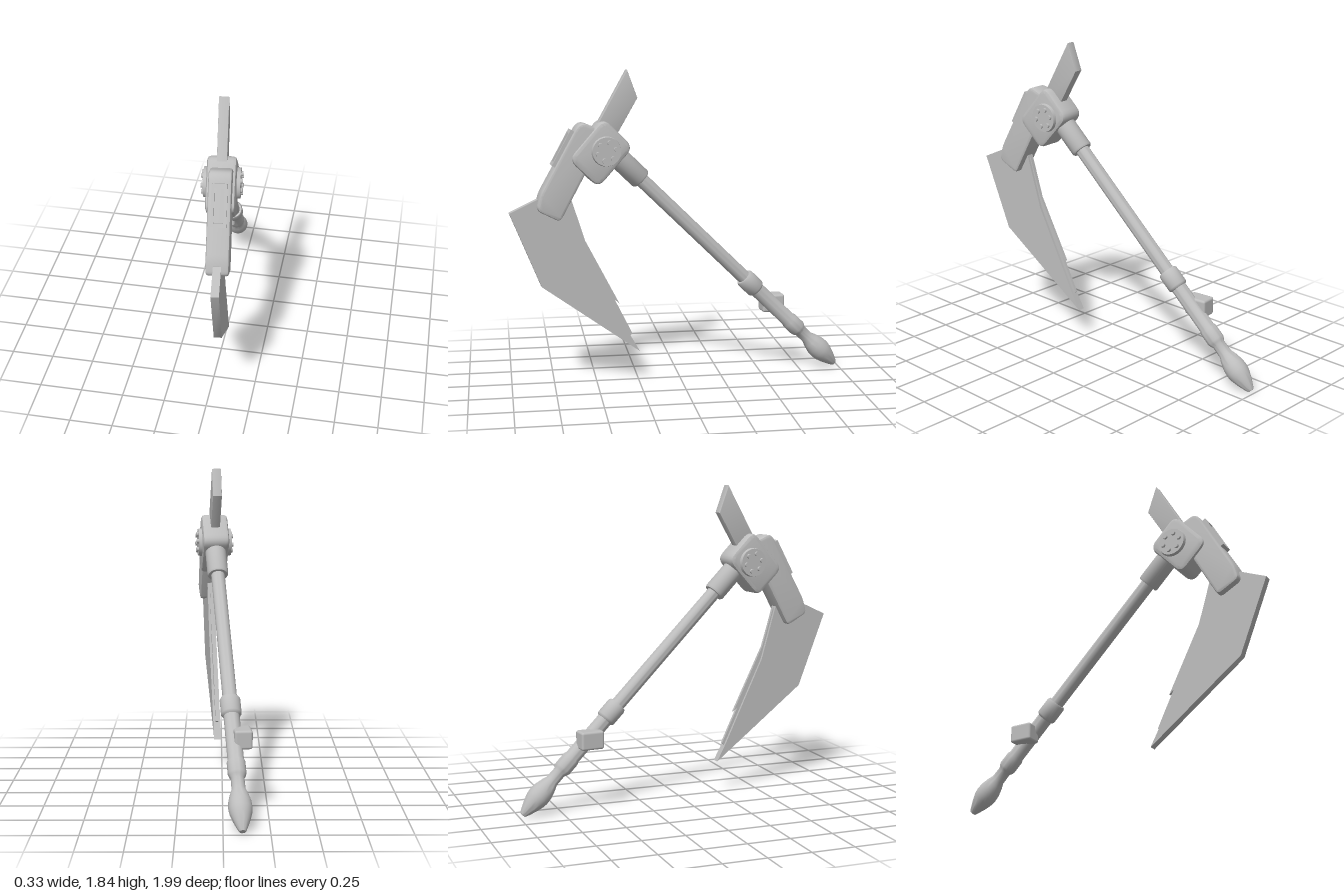
import * as THREE from 'three';
import { toCreasedNormals } from 'three/addons/utils/BufferGeometryUtils.js';
import { RoundedBoxGeometry } from 'three/addons/geometries/RoundedBoxGeometry.js';

const steel = new THREE.MeshStandardMaterial({ color: 0xbdbdbd });
steel.name = 'steel grey';

function add(parent, name, geometry, x = 0, y = 0, z = 0) {
  const mesh = new THREE.Mesh(geometry, steel);
  mesh.name = name;
  mesh.position.set(x, y, z);
  parent.add(mesh);
  return mesh;
}

// Outline of [z, y] points with corners rounded by radius r
function outline(points, r = 0) {
  const pts = points.map(([a, b]) => new THREE.Vector2(a, b));
  if (!r) return new THREE.Shape(pts);
  const shape = new THREE.Shape();
  const toward = (p, q) => p.clone().add(q.clone().sub(p).setLength(Math.min(r, p.distanceTo(q) * 0.45)));
  pts.forEach((p, i) => {
    const a = toward(p, pts.at(i - 1));
    const b = toward(p, pts[(i + 1) % pts.length]);
    if (i) shape.lineTo(a.x, a.y); else shape.moveTo(a.x, a.y);
    shape.quadraticCurveTo(p.x, p.y, b.x, b.y);
  });
  shape.closePath();
  return shape;
}

// Side-profile plate, centred on x = 0
function plate(points, thickness, r = 0, bevel = 0) {
  const geo = new THREE.ExtrudeGeometry(outline(points, r), {
    depth: thickness - 2 * bevel, curveSegments: 5,
    bevelEnabled: bevel > 0, bevelSize: bevel, bevelThickness: bevel, bevelOffset: -bevel, bevelSegments: 2,
  });
  geo.translate(0, 0, bevel - thickness / 2).rotateY(-Math.PI / 2);
  return toCreasedNormals(geo, 0.6);
}

export function createModel() {
  const root = new THREE.Group();
  root.name = 'foldingScythe';
  const body = new THREE.Group();
  body.name = 'scytheBody';
  body.rotation.y = 0.104;
  root.add(body);

  // Handle: one turned profile of [radius, distance from the hub]
  const profile = [
    [0, 1.986], [0.018, 1.984], [0.028, 1.965], [0.047, 1.92], [0.06, 1.88], [0.065, 1.85], [0.062, 1.81],
    [0.05, 1.765], [0.038, 1.735], [0.037, 1.67], [0.046, 1.655], [0.051, 1.64], [0.051, 1.57], [0.045, 1.555],
    [0.045, 1.275], [0.052, 1.27], [0.058, 1.26], [0.058, 1.17], [0.052, 1.158], [0.041, 1.158],
    [0.041, 0.278], [0.057, 0.278], [0.063, 0.268], [0.063, 0.0], [0, 0],
  ].map(([r, t]) => new THREE.Vector2(r, -t));
  const handle = add(body, 'handle', toCreasedNormals(new THREE.LatheGeometry(profile, 32), 0.6), 0, 1.404, 0.43);
  handle.rotation.x = 0.795;

  // Control box on the side of the grip
  add(body, 'gripBox', new RoundedBoxGeometry(0.1, 0.106, 0.138, 2, 0.014), -0.047, 0.417, -0.59);

  // Hub block with a bolted disc on both sides
  add(body, 'hubBlock', plate([[0.46, 1.575], [0.29, 1.405], [0.495, 1.18], [0.665, 1.345]], 0.16, 0.055, 0.022));
  for (const side of [-1, 1]) {
    const cap = new THREE.Group();
    cap.name = side > 0 ? 'leftHubCap' : 'rightHubCap';
    cap.position.set(side * 0.085, 1.388, 0.45);
    cap.rotation.z = -side * Math.PI / 2;
    add(cap, 'hubDisc', new THREE.CylinderGeometry(0.082, 0.088, 0.03, 32));
    for (let i = 0; i < 6; i++) {
      const a = (i / 6) * Math.PI * 2 + 0.3;
      add(cap, 'hubBolt', new THREE.CylinderGeometry(0.013, 0.015, 0.022, 10),
        Math.cos(a) * 0.053, 0.016, Math.sin(a) * 0.053);
    }
    body.add(cap);
  }

  // Arm that holds the blade
  add(body, 'bladeArm', plate([
    [0.85, 1.06], [0.825, 1.15], [0.61, 1.53], [0.575, 1.55], [0.44, 1.49], [0.55, 1.29], [0.715, 0.99],
  ], 0.125, 0.03, 0.014));

  // Slotted frame on the front of the arm
  const frame = outline([[-0.042, -0.115], [0.042, -0.115], [0.042, 0.115], [-0.042, 0.115]]);
  frame.holes.push(outline([[-0.026, -0.092], [-0.026, 0.092], [0.026, 0.092], [0.026, -0.092]]));
  const frameGeo = new THREE.ExtrudeGeometry(frame, { depth: 0.04, bevelEnabled: false });
  const slot = add(body, 'slotFrame', frameGeo.translate(0, 0, -0.02), 0, 1.402, 0.683);
  slot.rotation.x = -0.506;

  // Spike behind the hub
  add(body, 'backSpike', plate([[0.55, 1.43], [0.315, 1.842], [0.256, 1.682], [0.43, 1.385]], 0.055, 0, 0.004));

  // Blade with a thin serrated strip along its inner edge
  add(body, 'blade', plate([
    [0.76, 1.09], [0.84, 1.118], [1.0, 1.045], [0.823, 0.608], [0.25, 0.187],
    [0.31, 0.295], [0.555, 0.79], [0.65, 1.11], [0.68, 1.2],
  ], 0.044));
  add(body, 'serratedEdge', plate([
    [0.66, 1.08], [0.55, 0.7], [0.32, 0.27], [0.29, 0.293], [0.395, 0.505], [0.367, 0.48], [0.565, 0.864], [0.64, 1.1],
  ], 0.016));

  return root;
}
